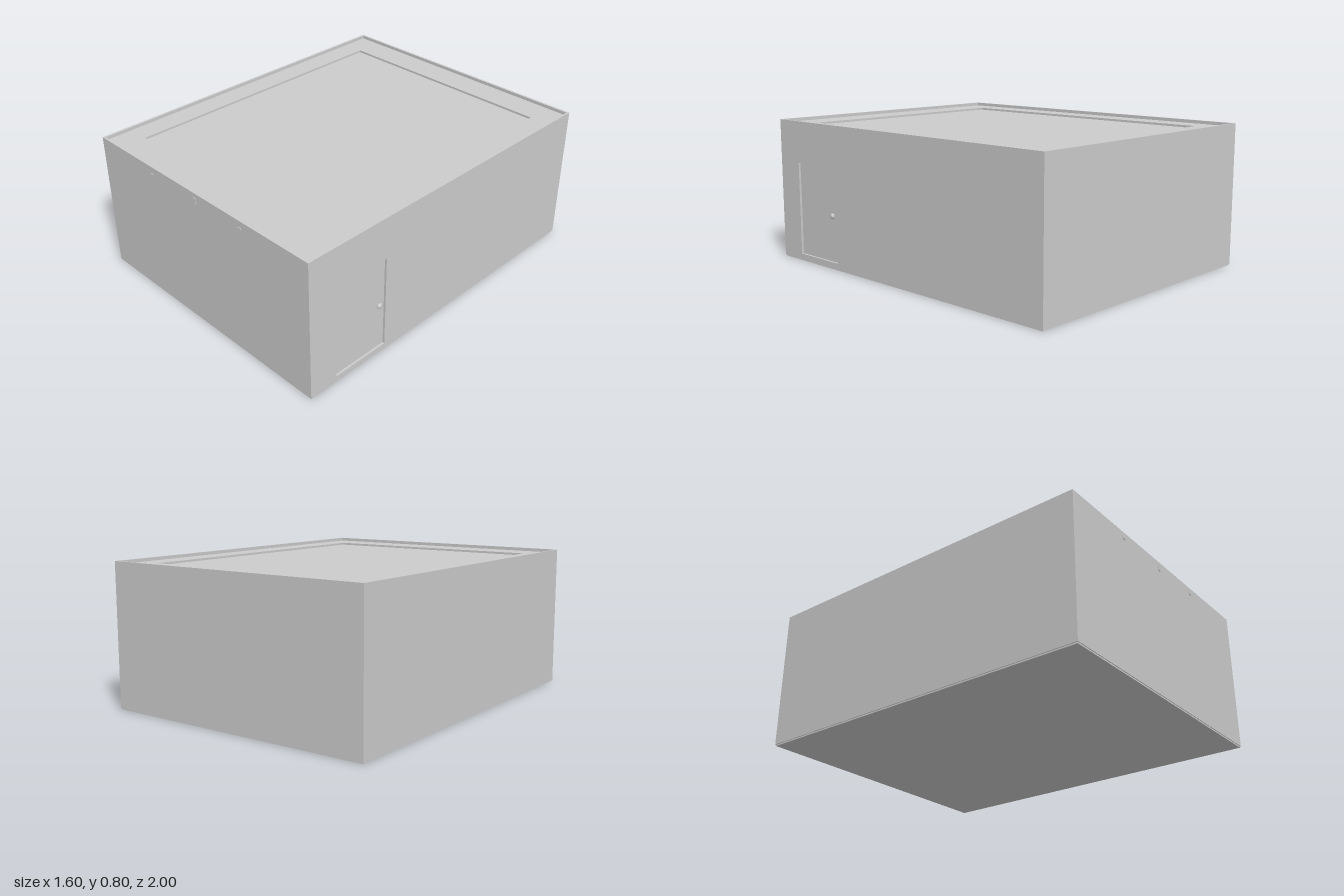
import * as THREE from 'three';

export function createModel() {
  const model = new THREE.Group();
  const material = new THREE.MeshStandardMaterial({ color: 0xcccccc });

  const add = (name, geometry, x = 0, y = 0, z = 0) => {
    const mesh = new THREE.Mesh(geometry, material);
    mesh.name = name;
    mesh.position.set(x, y, z);
    model.add(mesh);
    return mesh;
  };
  // Box given by its lower and upper limits
  const block = (name, [x0, y0, z0], [x1, y1, z1]) =>
    add(name, new THREE.BoxGeometry(x1 - x0, y1 - y0, z1 - z0),
      (x0 + x1) / 2, (y0 + y1) / 2, (z0 + z1) / 2);
  const rectangle = (PathType, x0, y0, x1, y1) => new PathType([
    new THREE.Vector2(x0, y0), new THREE.Vector2(x1, y0),
    new THREE.Vector2(x1, y1), new THREE.Vector2(x0, y1)]);
  const extrude = (shape, depth) =>
    new THREE.ExtrudeGeometry(shape, { depth, bevelEnabled: false });

  const L = -0.8, R = 0.792, B = -1, F = 0.996; // outer wall faces
  const T = 0.012; // wall thickness
  const base = 0.008, top = 0.8;

  // Walls
  block('frontWall', [L, base, F - T], [R, top, F]);
  block('backWall', [L, base, B], [R, top, B + T]);
  block('leftOuterWall', [L, base, B + T], [L + T, top, F - T]);

  // Wall with the door opening, drawn in (-z, y) and turned to face +x
  const wall = rectangle(THREE.Shape, -F + T, base, -B - T, top);
  wall.holes.push(rectangle(THREE.Path, -0.83, 0.04, -0.49, 0.565));
  add('doorWall', extrude(wall, T), R - T).rotation.y = Math.PI / 2;

  // Recessed door with a round knob
  block('door', [R - 0.03, 0.03, 0.48], [R - T, 0.575, 0.84]);
  const stem = add('knobStem', new THREE.CylinderGeometry(0.008, 0.008, 0.016, 16), R - 0.006, 0.3, 0.53);
  stem.rotation.z = Math.PI / 2;
  const knob = add('doorKnob', new THREE.SphereGeometry(0.016, 20, 14), R - 0.002, 0.3, 0.53);
  knob.scale.x = 0.63;

  // Floor slab, set in slightly under the walls
  block('floor', [L + 0.004, 0, B + 0.004], [R - 0.004, 0.02, F - 0.004]);

  // Roof border below the wall tops, with a lower centre panel
  const roof = rectangle(THREE.Shape, L + T, -F + T, R - T, -B - T);
  roof.holes.push(rectangle(THREE.Path, -0.664, -0.825, 0.656, 0.829));
  add('roofBorder', extrude(roof, 0.02), 0, 0.762, 0).rotation.x = -Math.PI / 2;
  block('roofPanel', [-0.68, 0.75, -0.84], [0.67, 0.77, 0.84]);

  // Small wall fittings showing through the front
  for (const [x, w, h] of [[-0.355, 0.02, 0.008], [-0.005, 0.02, 0.03], [0.33, 0.02, 0.008]])
    block('wallFitting', [x - w / 2, 0.76 - h / 2, F - 0.005], [x + w / 2, 0.76 + h / 2, 1]);

  return model;
}
